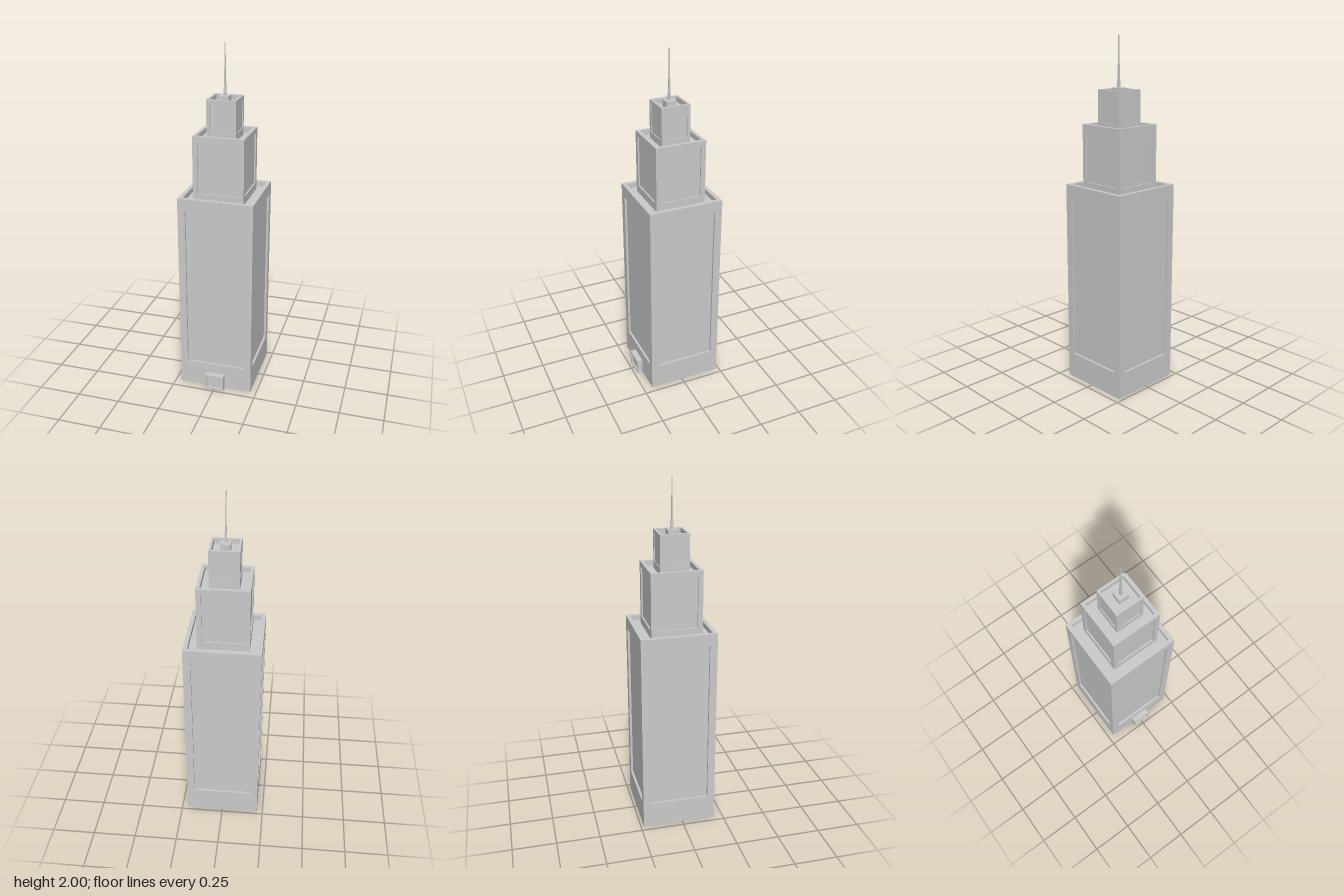
import * as THREE from 'three';

const material = new THREE.MeshStandardMaterial({
  color: 0xcccccc, flatShading: true, side: THREE.DoubleSide,
});

// Rectangular rings [x0, y0, x1, y1, z] joined one to the next, the last one filled
function steppedFace(rings) {
  const corners = rings.map(([x0, y0, x1, y1, z]) =>
    [[x0, y0, z], [x1, y0, z], [x1, y1, z], [x0, y1, z]]);
  const pos = [];
  const quad = (a, b, c, d) => pos.push(...a, ...b, ...c, ...a, ...c, ...d);
  for (let r = 0; r < corners.length - 1; r++) {
    const o = corners[r], n = corners[r + 1];
    for (let i = 0; i < 4; i++) {
      const j = (i + 1) % 4;
      quad(o[i], o[j], n[j], n[i]);
    }
  }
  quad(...corners[corners.length - 1]);
  const geometry = new THREE.BufferGeometry();
  geometry.setAttribute('position', new THREE.Float32BufferAttribute(pos, 3));
  geometry.computeVertexNormals();
  return geometry;
}

function add(parent, name, geometry, x = 0, y = 0, z = 0) {
  const mesh = new THREE.Mesh(geometry, material);
  mesh.name = name;
  mesh.position.set(x, y, z);
  parent.add(mesh);
  return mesh;
}

// Square block, open below: four walls with sunken panels and a roof behind a parapet
function makeTier({ name, half, y0, y1, panel, parapet, z }) {
  const tier = new THREE.Group();
  tier.name = name;
  tier.position.z = z;
  const [pw, p0, p1] = panel;
  const depth = half * 0.06;
  const wall = steppedFace([
    [-half, y0, half, y1, half],
    [-pw, p0, pw, p1, half],
    [-pw, p0, pw, p1, half - depth],
  ]);
  for (let i = 0; i < 4; i++) {
    add(tier, 'panelledWall', wall).rotation.y = i * Math.PI / 2;
  }
  const inner = half - parapet;
  const roof = steppedFace([
    [-half, -half, half, half, 0],
    [-inner, -inner, inner, inner, 0],
    [-inner, -inner, inner, inner, -0.03],
  ]);
  roof.rotateX(-Math.PI / 2);
  add(tier, 'parapetRoof', roof, 0, y1, 0);
  return tier;
}

export function createModel() {
  const model = new THREE.Group();
  model.name = 'steppedTower';

  // Three stacked blocks
  const tiers = [
    { name: 'lowerTier', half: 0.215, y0: 0, y1: 1.18, panel: [0.172, 0.15, 1.11], parapet: 0.024, z: -0.018 },
    { name: 'middleTier', half: 0.145, y0: 1.15, y1: 1.52, panel: [0.117, 1.196, 1.49], parapet: 0.02, z: -0.0145 },
    { name: 'upperTier', half: 0.0825, y0: 1.49, y1: 1.71, panel: [0.066, 1.53, 1.692], parapet: 0.0135, z: -0.0115 },
  ];
  tiers.forEach((t) => model.add(makeTier(t)));

  // Entrance porch with a sunken doorway
  const porch = new THREE.Group();
  porch.name = 'entrancePorch';
  model.add(porch);
  add(porch, 'porchShell', steppedFace([
    [-0.057, 0, 0.057, 0.09, 0.197],
    [-0.057, 0, 0.057, 0.09, 0.231],
    [-0.048, 0.01, 0.048, 0.08, 0.231],
    [-0.048, 0.01, 0.048, 0.08, 0.221],
  ]));

  // Spire: plinth and a square mast in two tapering lengths
  const spire = new THREE.Group();
  spire.name = 'spire';
  spire.position.z = -0.008;
  model.add(spire);
  add(spire, 'mastPlinth', new THREE.BoxGeometry(0.056, 0.04, 0.056), 0, 1.7, 0);
  const mast = (top, bottom, height) =>
    new THREE.CylinderGeometry(top * Math.SQRT2, bottom * Math.SQRT2, height, 4).rotateY(Math.PI / 4);
  add(spire, 'lowerMast', mast(0.005, 0.007, 0.07), 0, 1.755, 0);
  add(spire, 'upperMast', mast(0.002, 0.0045, 0.21), 0, 1.895, 0);

  return model;
}
